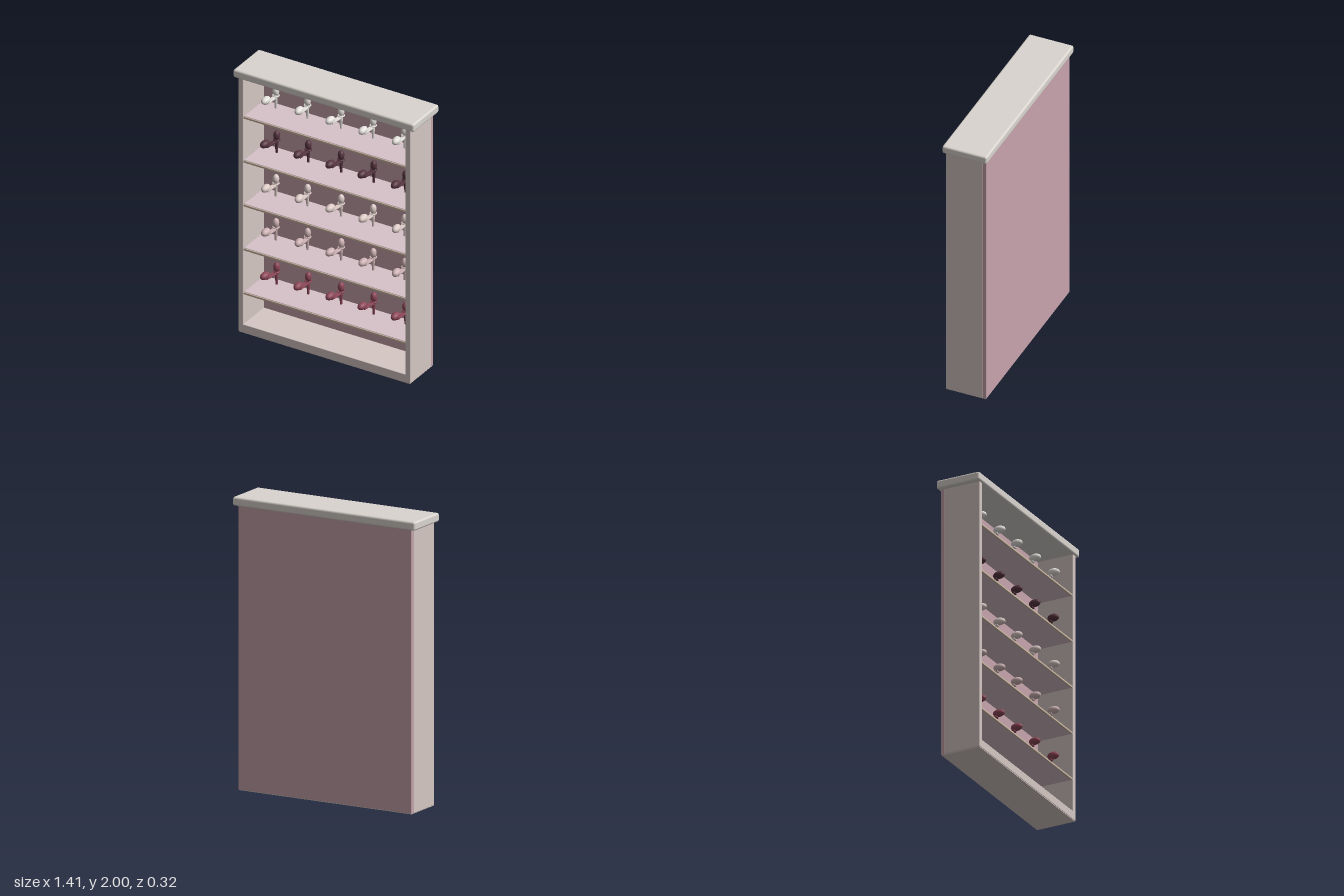
import * as THREE from 'three';
import { RoundedBoxGeometry } from 'three/addons/geometries/RoundedBoxGeometry.js';

const paint = (color) => new THREE.MeshStandardMaterial({ color });

function add(parent, name, geometry, material, x = 0, y = 0, z = 0) {
  const mesh = new THREE.Mesh(geometry, material);
  mesh.name = name;
  mesh.position.set(x, y, z);
  parent.add(mesh);
  return mesh;
}

const box = (w, h, d, r = 0.004) => new RoundedBoxGeometry(w, h, d, 2, r);

// Shared geometries of the display pieces
const ball = new THREE.SphereGeometry(1, 20, 14);
const heelGeometry = new THREE.CylinderGeometry(0.013, 0.008, 0.1, 14);
const collarGeometry = new THREE.TorusGeometry(0.021, 0.005, 8, 20);
const soleGeometry = box(0.03, 0.014, 0.13);

// High heeled shoe: toe forward, heel cup and stiletto behind
function createShoe(material) {
  const shoe = new THREE.Group();
  shoe.name = 'shoe';
  add(shoe, 'toe', ball, material, 0, 0.122, 0.068).scale.set(0.026, 0.026, 0.043);
  add(shoe, 'heelCup', ball, material, 0, 0.131, -0.06).scale.set(0.022, 0.034, 0.024);
  add(shoe, 'sole', soleGeometry, material, 0, 0.092, -0.005).rotation.x = -0.06;
  add(shoe, 'heel', heelGeometry, material, 0, 0.05, -0.06);
  add(shoe, 'collar', collarGeometry, material, 0, 0.098, -0.06).rotation.x = Math.PI / 2;
  return shoe;
}

export function createModel() {
  const cabinet = new THREE.Group();
  cabinet.name = 'displayCabinet';
  const frame = paint(0xd6c8c4);
  const shelfPaint = paint(0xd8c2ca);
  const trimPaint = paint(0xcdb9a4);

  // Carcass
  for (const side of [-1, 1]) {
    add(cabinet, side > 0 ? 'leftSide' : 'rightSide', box(0.038, 1.945, 0.265), frame, side * 0.651, 0.9775, 0.0155);
  }
  add(cabinet, 'base', box(1.3, 0.06, 0.265), frame, 0, 0.035, 0.0155);
  add(cabinet, 'backPanel', box(1.336, 1.94, 0.028), paint(0xc8a4ad), 0, 0.975, -0.131);
  add(cabinet, 'topCap', box(1.406, 0.06, 0.324, 0.014), paint(0xdad5cf), 0, 1.97, 0);
  add(cabinet, 'bottom', new THREE.BoxGeometry(1.33, 0.01, 0.285), frame, 0, 0.005, 0.003);

  // Shelves, each with a row of five shoes
  const colors = [0x8e4759, 0xcfb3b5, 0xdccbc7, 0x573540, 0xe4e0dc];
  const turnsA = [0, 0.1, -0.05, 0, 0.1];
  const turnsB = [-0.1, 0, -0.05, -0.08, 0];
  colors.forEach((color, row) => {
    const top = 0.312 + row * 0.336;
    const shelf = new THREE.Group();
    shelf.name = 'shelf';
    shelf.position.y = top;
    cabinet.add(shelf);
    add(shelf, 'board', box(1.264, 0.02, 0.255), shelfPaint, 0, -0.01, 0.01);
    add(shelf, 'frontTrim', box(1.264, 0.015, 0.012, 0.003), trimPaint, 0, -0.012, 0.138);

    const material = paint(color);
    const turns = row === 0 || row === 3 ? turnsB : turnsA;
    turns.forEach((turn, i) => {
      const shoe = createShoe(material);
      shoe.position.x = (i - 2) * 0.2525;
      shoe.rotation.y = turn;
      shelf.add(shoe);
    });
  });
  return cabinet;
}
